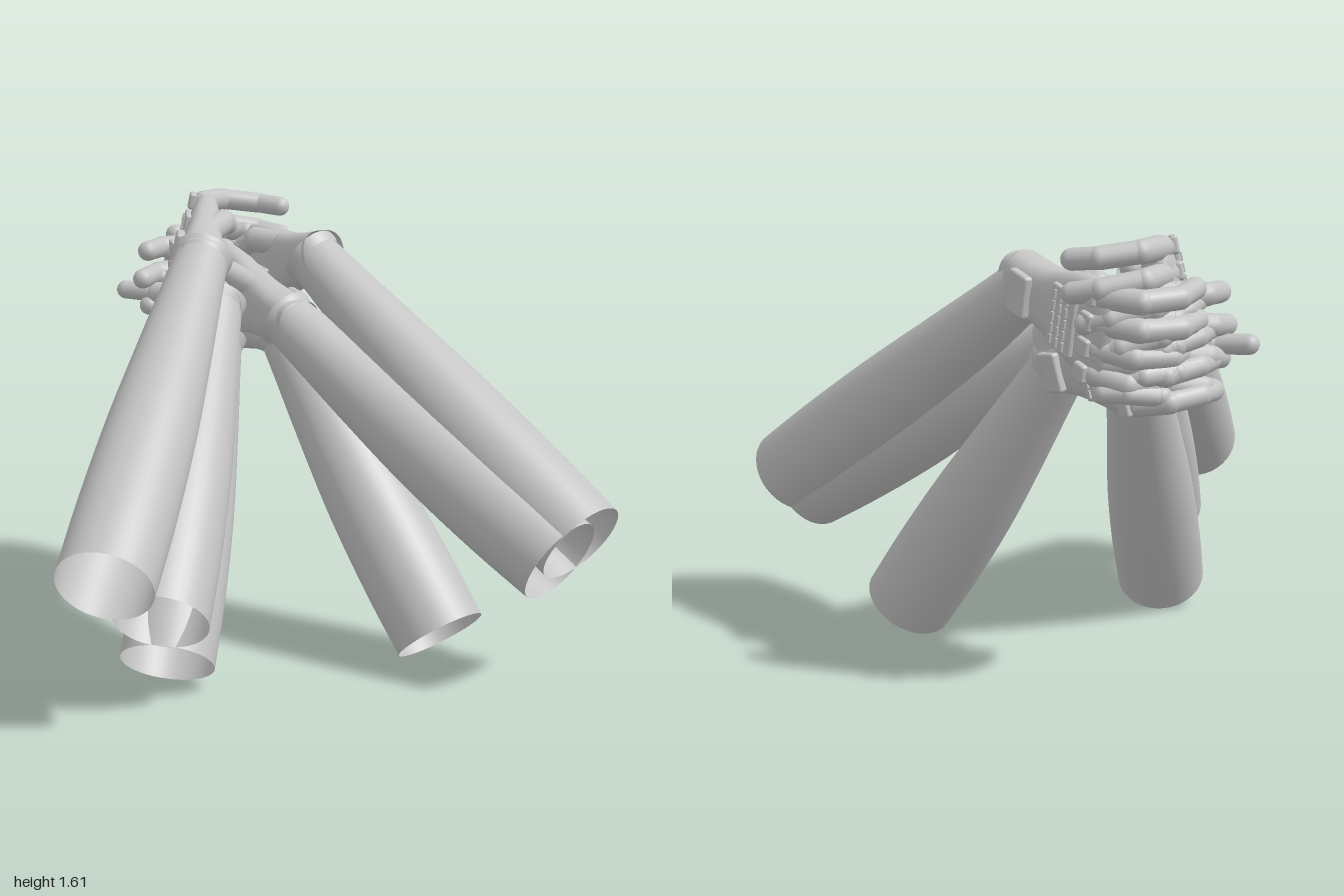
import * as THREE from 'three';
import { RoundedBoxGeometry } from 'three/addons/geometries/RoundedBoxGeometry.js';

const grey = new THREE.MeshStandardMaterial({ color: 0xc4c4c4, side: THREE.DoubleSide });
grey.name = 'plain grey';
const V = (x, y, z) => new THREE.Vector3(x, y, z);
const UP = V(0, 1, 0);

function add(parent, name, geometry, x = 0, y = 0, z = 0) {
  const mesh = new THREE.Mesh(geometry, grey);
  mesh.name = name;
  mesh.position.set(x, y, z);
  parent.add(mesh);
  return mesh;
}

// Rounded rod between two points
function rod(parent, name, a, b, r) {
  const d = b.clone().sub(a);
  const mesh = add(parent, name, new THREE.CapsuleGeometry(r, d.length(), 6, 14));
  mesh.position.copy(a).addScaledVector(d, 0.5);
  mesh.quaternion.setFromUnitVectors(UP, d.normalize());
}

// Skin over rounded-rectangle sections [y, halfWidth, halfThickness]
function loft(sections, n = 32) {
  const pos = [], index = [];
  const soft = (v) => Math.sign(v) * Math.pow(Math.abs(v), 0.75);
  for (const [y, w, t] of sections)
    for (let i = 0; i < n; i++) {
      const a = (i / n) * Math.PI * 2;
      pos.push(w * soft(Math.cos(a)), y, t * soft(Math.sin(a)));
    }
  for (let j = 0; j < sections.length - 1; j++)
    for (let i = 0; i < n; i++) {
      const a = j * n + i, b = j * n + (i + 1) % n;
      index.push(a, a + n, b, b, a + n, b + n);
    }
  const g = new THREE.BufferGeometry();
  g.setAttribute('position', new THREE.Float32BufferAttribute(pos, 3));
  g.setIndex(index);
  g.computeVertexNormals();
  return g;
}

// Open tapering forearm with a slight bow, and a thin loose cuff at the wrist
function forearm(elbow, wrist, bow) {
  const arm = new THREE.Group();
  arm.name = 'forearm';
  const axis = wrist.clone().sub(elbow), len = axis.length();
  const profile = new THREE.SplineCurve([
    [0.167, 0], [0.169, 0.2], [0.159, 0.45], [0.134, 0.7], [0.113, 0.88], [0.1, 1],
  ].map(([r, t]) => new THREE.Vector2(r, t * len)));
  const g = new THREE.LatheGeometry(profile.getPoints(28), 40);
  const p = g.attributes.position;
  const q = new THREE.Quaternion().setFromUnitVectors(UP, axis.normalize());
  const sag = V(0, -1, 0).applyQuaternion(q.clone().invert());
  for (let i = 0; i < p.count; i++) {
    const s = bow * Math.sin(Math.PI * p.getY(i) / len);
    p.setX(i, p.getX(i) + sag.x * s);
    p.setZ(i, p.getZ(i) + sag.z * s);
  }
  add(arm, 'sleeve', g);
  const cuff = [[0.103, -0.02], [0.112, 0.005], [0.115, 0.02]];
  add(arm, 'cuff', new THREE.LatheGeometry(cuff.map((c) => new THREE.Vector2(...c)), 36), 0, len, 0);
  arm.position.copy(elbow);
  arm.quaternion.copy(q);
  return arm;
}

// Hand: +y runs to the fingers, +z is the back, side is the thumb side on x
function hand(wrist, knuckle, back, side, thumbOut) {
  const h = new THREE.Group();
  h.name = 'hand';
  add(h, 'palm', loft([
    [-0.07, 0.082, 0.075], [0.06, 0.086, 0.074], [0.14, 0.096, 0.068], [0.2, 0.112, 0.062],
    [0.29, 0.138, 0.058], [0.38, 0.15, 0.052], [0.43, 0.147, 0.046], [0.465, 0.12, 0.03], [0.47, 0, 0],
  ]));

  // Wrist plate and the ribbed panel on the back
  add(h, 'wristPlate', new RoundedBoxGeometry(0.13, 0.1, 0.03, 3, 0.01), 0, 0.07, 0.078);
  add(h, 'backPanel', new RoundedBoxGeometry(0.19, 0.13, 0.02, 3, 0.008), 0, 0.295, 0.058);
  for (let c = 0; c < 3; c++)
    for (let r = 0; r < 5; r++)
      add(h, 'panelRib', new THREE.BoxGeometry(0.026, 0.009, 0.01), (r - 2) * 0.034, 0.26 + c * 0.035, 0.07);

  // Fingers curl in three rods, each with a knuckle pad
  for (let i = 0; i < 4; i++) {
    const x = (i - 1.5) * 0.077;
    const size = 1 - 0.07 * Math.abs(i - 1.5 - side * 0.5);
    add(h, 'knucklePad', new RoundedBoxGeometry(0.055, 0.055, 0.024, 3, 0.009), x, 0.41, 0.05);
    let a = V(x, 0.43, 0.012);
    [[0.115, 0.7], [0.13, 1.5], [0.09, 2.05]].forEach(([l, turn], k) => {
      const b = a.clone().add(V((i - 1.5) * 0.006, Math.cos(turn) * l * size, -Math.sin(turn) * l * size));
      rod(h, 'fingerSegment', a, b, 0.037 - k * 0.002);
      a = b;
    });
  }

  // Thumb
  const path = thumbOut
    ? [V(-side * 0.04, 0.3, 0.02), V(-side * 0.05, 0.39, 0.11), V(-side * 0.05, 0.47, 0.21)]
    : [V(side * 0.065, 0.19, -0.02), V(side * 0.09, 0.27, -0.06), V(side * 0.07, 0.34, -0.08)];
  rod(h, 'thumbBase', path[0], path[1], 0.042);
  rod(h, 'thumbTip', path[1], path[2], 0.034);

  const y = knuckle.clone().sub(wrist);
  const s = y.length() / 0.45;
  y.normalize();
  const z = back.clone().addScaledVector(y, -back.dot(y)).normalize();
  h.quaternion.setFromRotationMatrix(new THREE.Matrix4().makeBasis(y.clone().cross(z), y, z));
  h.position.copy(wrist);
  h.scale.setScalar(s);
  return h;
}

export function createModel() {
  const model = new THREE.Group();
  model.name = 'claspedArms';
  // name, elbow, wrist, knuckles, back of hand, thumb side, thumb out
  const arms = [
    ['upperLeftArm', V(0.843, 0.535, 0.845), V(0.26, 1.4, -0.29), V(0.17, 1.29, -0.79), V(1, 0, -0.25), -1],
    ['middleLeftArm', V(0.767, 0.475, 0.84), V(0.135, 1.18, -0.22), V(0.02, 1.26, -0.72), V(1, 0.1, -0.2), -1],
    ['lowerLeftArm', V(0.51, 0.105, 0.4), V(0.155, 1.11, -0.3), V(0.06, 1.18, -0.77), V(1, -0.2, -0.15), -1],
    ['upperRightArm', V(-0.845, 0.535, 0.845), V(-0.18, 1.41, -0.29), V(-0.04, 1.44, -0.78), V(-0.95, 0.2, -0.25), 1],
    ['middleRightArm', V(-0.598, 0.325, 0.62), V(-0.13, 1.24, -0.28), V(-0.12, 1.29, -0.75), V(-1, 0, -0.2), 1, true],
    ['lowerRightArm', V(-0.515, 0.105, 0.4), V(-0.125, 1.1, -0.3), V(-0.09, 1.19, -0.75), V(-1, -0.2, -0.15), 1],
  ];
  for (const [name, elbow, wrist, knuckle, back, side, out] of arms) {
    const g = new THREE.Group();
    g.name = name;
    g.add(forearm(elbow, wrist, 0.01), hand(wrist, knuckle, back, side, out));
    model.add(g);
  }
  return model;
}
